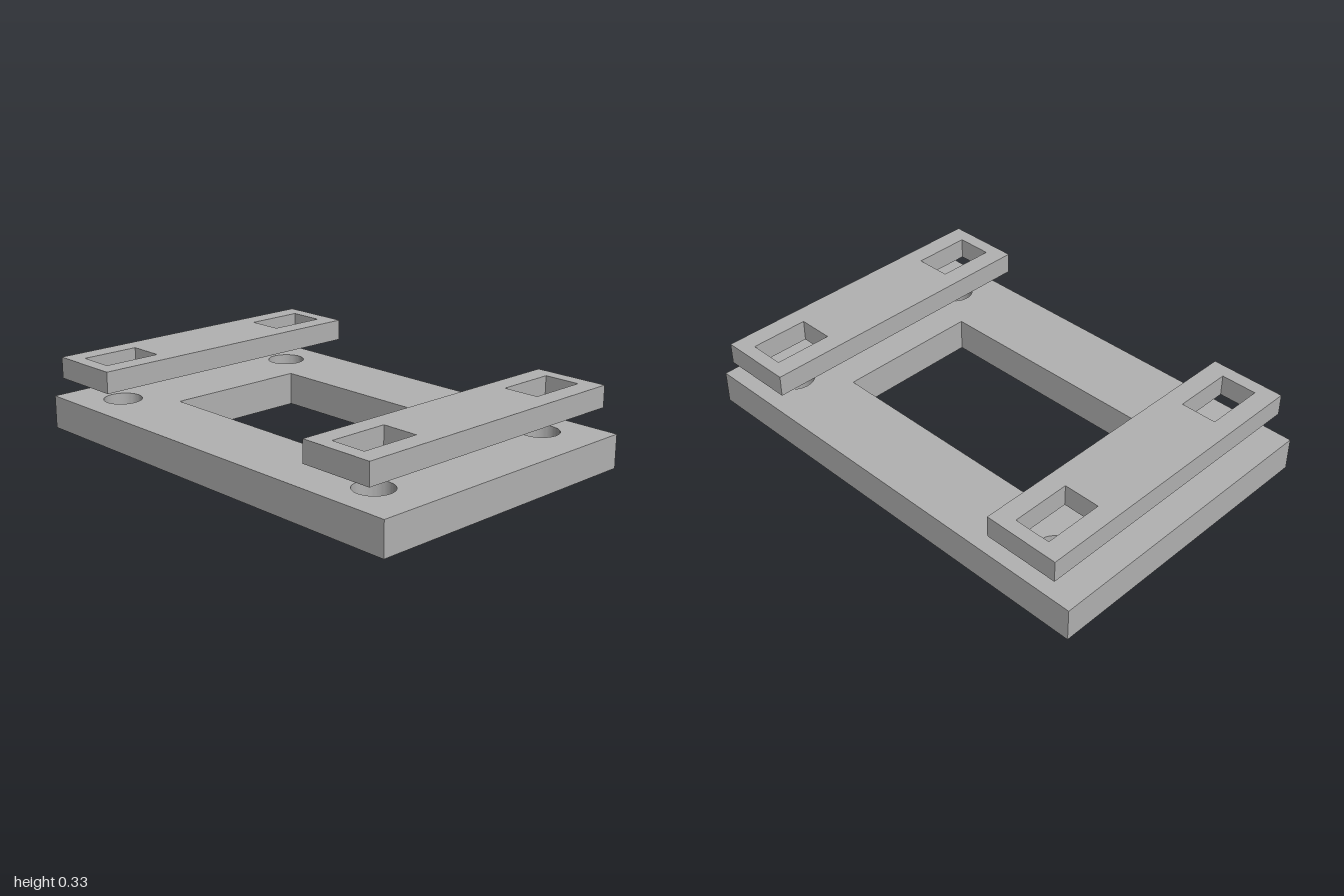
import * as THREE from 'three';
import { toCreasedNormals } from 'three/addons/utils/BufferGeometryUtils.js';

const HOLE_X = 0.762, HOLE_Z = 0.475;

// Trace a centred rectangle onto a Shape or Path
function rect(path, cx, cy, w, h) {
  path.moveTo(cx - w / 2, cy - h / 2);
  path.lineTo(cx + w / 2, cy - h / 2);
  path.lineTo(cx + w / 2, cy + h / 2);
  path.lineTo(cx - w / 2, cy + h / 2);
  path.closePath();
  return path;
}

// Extrude a plan outline upward into a flat slab
function slab(shape, height, material, name) {
  const geo = new THREE.ExtrudeGeometry(shape, { depth: height, bevelEnabled: false, curveSegments: 32 });
  geo.rotateX(-Math.PI / 2);
  const mesh = new THREE.Mesh(toCreasedNormals(geo, 0.6), material);
  mesh.name = name;
  return mesh;
}

export function createModel() {
  const group = new THREE.Group();
  group.name = 'mountingFrame';
  const grey = new THREE.MeshStandardMaterial({ color: 0xb2b2b2 });
  grey.name = 'grey';

  // Base plate with a rectangular window and four round bolt holes
  const plate = rect(new THREE.Shape(), 0, 0, 2, 1.333);
  plate.holes.push(rect(new THREE.Path(), 0, 0, 1.118, 0.645));
  for (const sx of [-1, 1]) {
    for (const sz of [-1, 1]) {
      plate.holes.push(new THREE.Path().absarc(sx * HOLE_X, sz * HOLE_Z, 0.083, 0, Math.PI * 2, true));
    }
  }
  group.add(slab(plate, 0.145, grey, 'basePlate'));

  // Floating clamp bars, each with two slots over the bolt holes
  for (const [side, name] of [[1, 'leftClampBar'], [-1, 'rightClampBar']]) {
    const bar = rect(new THREE.Shape(), 0, 0, 0.332, 1.333);
    for (const sz of [-1, 1]) bar.holes.push(rect(new THREE.Path(), 0, sz * HOLE_Z, 0.16, 0.262));
    const mesh = slab(bar, 0.094, grey, name);
    mesh.position.set(side * HOLE_X, 0.24, 0);
    group.add(mesh);
  }
  return group;
}
